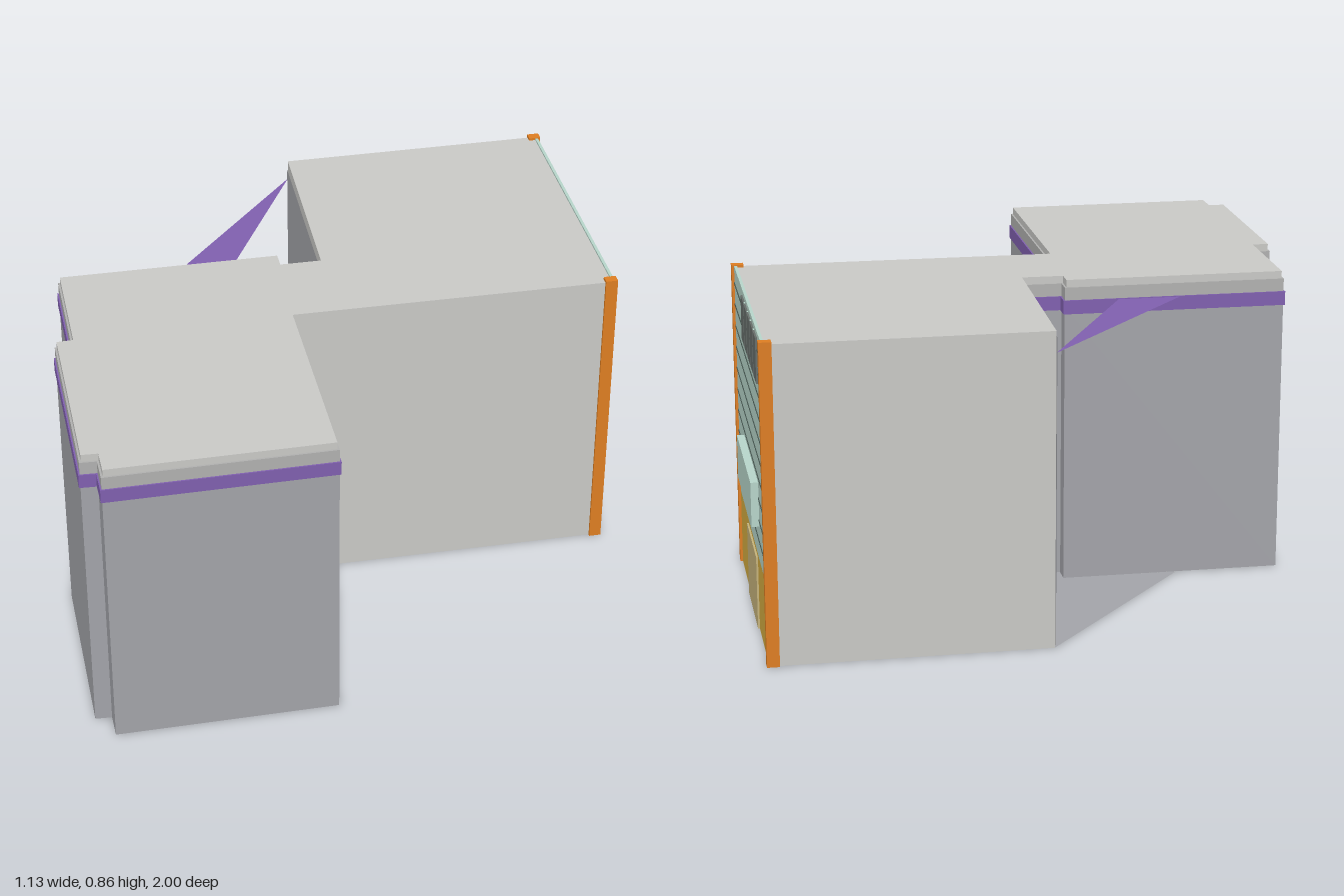
import * as THREE from 'three';

const mat = (name, color, side = THREE.FrontSide) => {
  const m = new THREE.MeshStandardMaterial({ color, side });
  m.name = name;
  return m;
};

// Ground plans as [x, z]
const wing = [[-0.10, -0.06], [-0.16, 0.035], [-0.20, 0.01], [-0.515, 0.515], [-0.25, 0.68], [-0.272, 0.718],
  [0.165, 0.988], [0.19, 0.952], [0.25, 0.988], [0.555, 0.49], [0.05, 0.18]];
const rear = [[0.515, -0.56], [-0.18, -0.985], [-0.565, -0.36]];

const shapeOf = pts => new THREE.Shape(pts.map(([x, z]) => new THREE.Vector2(x, -z)));

// Push every edge of a plan outwards by d, with mitred corners
function outset(pts, d) {
  const n = pts.length;
  const normal = (a, b) => {
    const dx = b[0] - a[0], dz = b[1] - a[1], l = Math.hypot(dx, dz);
    return [-dz / l, dx / l];
  };
  return pts.map((p, i) => {
    const a = normal(pts[(i + n - 1) % n], p), b = normal(p, pts[(i + 1) % n]);
    const k = d / (1 + a[0] * b[0] + a[1] * b[1]);
    return [p[0] + (a[0] + b[0]) * k, p[1] + (a[1] + b[1]) * k];
  });
}

export function createModel() {
  const model = new THREE.Group();
  model.name = 'building';

  const roofGrey = mat('roof grey', 0xc8c8c5);
  const rimGrey = mat('rim grey', 0xb0b0af);
  const wallGrey = mat('wall grey', 0xa2a3a8, THREE.DoubleSide);
  const purple = mat('band purple', 0x7f5fae, THREE.DoubleSide);
  const orange = mat('post orange', 0xdc7d22);
  const teal = mat('siding teal', 0xb6d4c9);
  const gold = mat('base gold', 0xd2aa40);
  const khaki = mat('door khaki', 0xc4b27a);
  const dark = mat('window grey', 0x666d6a);
  const line = mat('groove green', 0x4c5f58);

  const add = (parent, name, geometry, material) => {
    const mesh = new THREE.Mesh(geometry, material);
    mesh.name = name;
    parent.add(mesh);
    return mesh;
  };
  const prism = (name, pts, y0, y1, material) => {
    const g = new THREE.ExtrudeGeometry(shapeOf(pts), { depth: y1 - y0, bevelEnabled: false });
    g.rotateX(-Math.PI / 2).translate(0, y0, 0);
    return add(model, name, g, material);
  };
  const sheet = (name, pts, y, material) => {
    const g = new THREE.ShapeGeometry(shapeOf(pts));
    g.rotateX(-Math.PI / 2).translate(0, y, 0);
    return add(model, name, g, material);
  };

  // Main mass, and the cladding around the front wing
  prism('mainBody', [...wing, ...rear], 0, 0.85, roofGrey);
  // the plan runs anticlockwise seen from above, so outset takes a positive distance
  prism('wingWalls', outset(wing, 0.005), 0.002, 0.78, wallGrey);
  prism('wingRim', outset(wing, 0.005), 0.78, 0.83, rimGrey);
  prism('wingBand', outset(wing, 0.009), 0.757, 0.795, purple);

  // Nook between the two wings: clad wall, floor sheet and band sheet
  const [a, b] = [[-0.555, -0.354], [-0.10, -0.06]];
  const nook = new THREE.PlaneGeometry(Math.hypot(b[0] - a[0], b[1] - a[1]), 0.83);
  nook.rotateY(-Math.atan2(b[1] - a[1], b[0] - a[0]));
  nook.translate((a[0] + b[0]) / 2 - 0.002, 0.415, (a[1] + b[1]) / 2 + 0.004);
  add(model, 'nookWall', nook, wallGrey);
  sheet('nookFloor', [[-0.565, -0.36], [-0.10, -0.06], [-0.16, 0.035], [-0.20, 0.01], [-0.37, 0.275]], 0.001, wallGrey);
  sheet('nookBand', [[-0.565, -0.36], [-0.28, 0.13], [-0.37, 0.275]], 0.793, purple);

  // Decorated facade: local x runs along the wall, local z points outwards
  const facade = new THREE.Group();
  facade.name = 'facade';
  const dx = -0.695, dz = -0.425, L = Math.hypot(dx, dz);
  facade.position.set(0.515, 0, -0.56);
  facade.rotation.y = Math.atan2(-dz, dx);
  model.add(facade);
  const slab = (name, u0, u1, y0, y1, z0, z1, material) => {
    const g = new THREE.BoxGeometry(u1 - u0, y1 - y0, z1 - z0);
    g.translate((u0 + u1) / 2, (y0 + y1) / 2, (z0 + z1) / 2);
    return add(facade, name, g, material);
  };
  slab('siding', 0, L, 0.21, 0.855, -0.002, 0.006, teal);
  slab('basePanel', 0, L, 0, 0.21, -0.002, 0.006, gold);
  slab('door', 0.33 * L, 0.67 * L, 0, 0.2, 0, 0.011, khaki);
  slab('signBox', 0.25 * L, 0.76 * L, 0.31, 0.43, 0, 0.026, teal);
  for (let i = 0; i < 10; i++) {
    const y = 0.265 + i * 0.06;
    slab('sidingGroove', 0.02, L - 0.02, y, y + 0.005, 0.004, 0.0075, line);
  }

  // Window row with light dividers
  const u0 = 0.345 * L, u1 = 0.89 * L, step = (u1 - u0) / 5;
  for (let i = 0; i < 5; i++) {
    slab('windowPane', u0 + i * step, u0 + (i + 1) * step - 0.014, 0.72, 0.84, 0.002, 0.011, dark);
    if (i < 4) slab('windowDivider', u0 + (i + 1) * step - 0.014, u0 + (i + 1) * step, 0.72, 0.84, 0.002, 0.009, teal);
  }

  // Corner posts
  for (const [s, e] of [[-0.007, 0.018], [L - 0.018, L + 0.007]]) {
    slab('cornerPost', s, e, 0, 0.857, -0.02, 0.013, orange);
  }
  return model;
}
